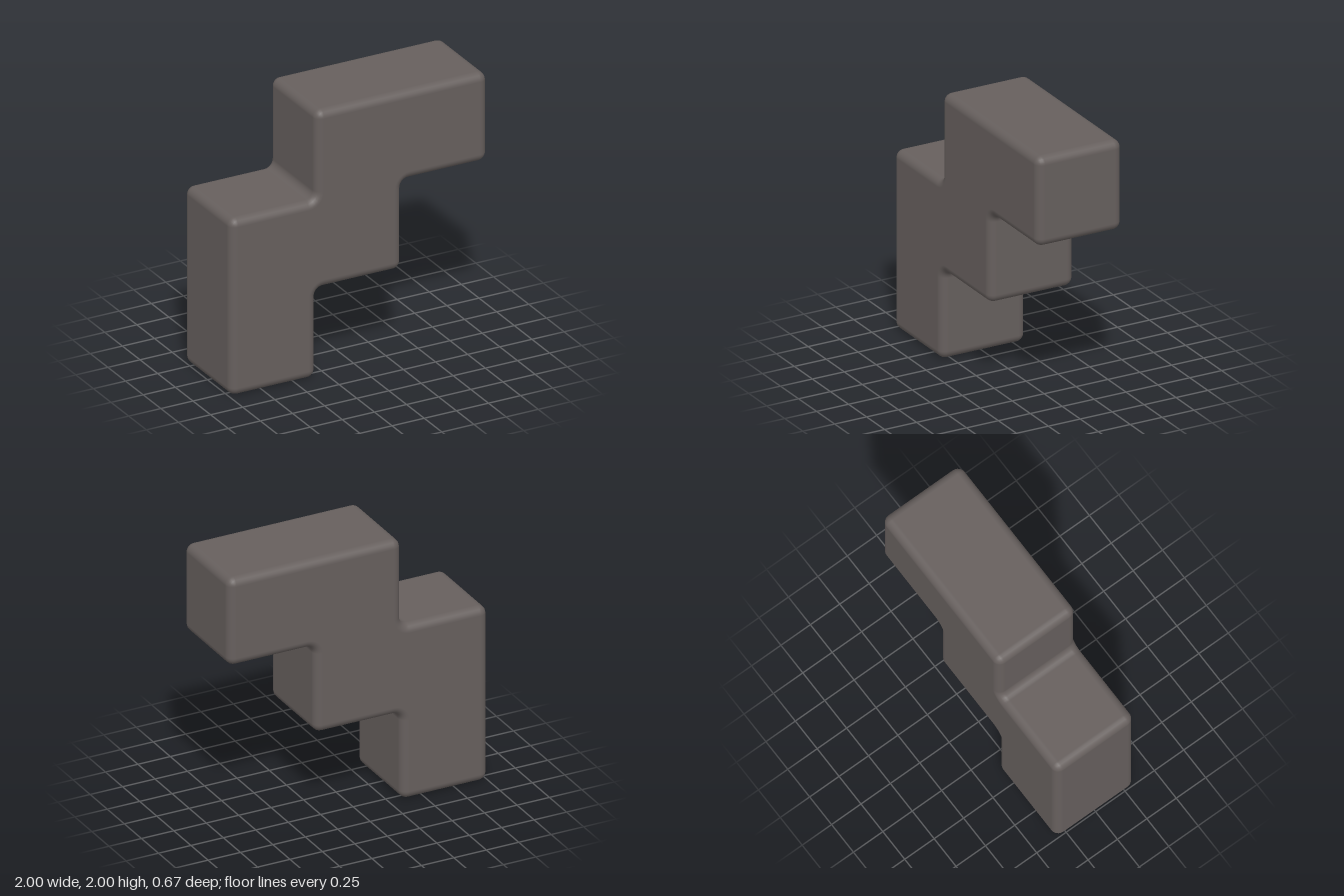
import * as THREE from 'three';

const CELL = 2 / 3, RADIUS = 0.06, STEPS = 6;

// Stepped outline in cells, counter-clockwise
const OUTLINE = [[0, 0], [1, 0], [1, 1], [2, 1], [2, 2], [3, 2], [3, 3], [1, 3], [1, 2], [0, 2]]
  .map(([x, y]) => new THREE.Vector2(x * CELL - 1, y * CELL));

// Rounded outline shrunk by inset; convex arcs tighten and concave fillets widen
function ring(inset) {
  const points = [], normals = [];
  OUTLINE.forEach((p, i) => {
    const a = p.clone().sub(OUTLINE.at(i - 1)).normalize();
    const b = OUTLINE[(i + 1) % OUTLINE.length].clone().sub(p).normalize();
    const turn = Math.sign(a.cross(b));
    const start = Math.atan2(-a.x, a.y);
    const normalSum = new THREE.Vector2(a.y + b.y, -a.x - b.x);
    const centre = p.clone().addScaledVector(normalSum, -turn * RADIUS);
    for (let k = 0; k <= STEPS; k++) {
      const angle = start + turn * (k / STEPS) * Math.PI / 2;
      const n = new THREE.Vector2(Math.cos(angle), Math.sin(angle));
      normals.push(n);
      points.push(centre.clone().addScaledVector(n, turn * RADIUS - inset));
    }
  });
  return { points, normals };
}

function steppedBlockGeometry() {
  const positions = [], normals = [], index = [];
  const halfDepth = CELL / 2;
  const count = OUTLINE.length * (STEPS + 1);
  const layers = 2 * (STEPS + 1);

  // Rings from back to front, following the rounded edge at each end
  for (let layer = 0; layer < layers; layer++) {
    const side = layer <= STEPS ? -1 : 1;
    const t = (side < 0 ? STEPS - layer : layer - STEPS - 1) / STEPS * Math.PI / 2;
    const c = t > 1.57 ? 0 : Math.cos(t), s = Math.sin(t);
    const { points, normals: flat } = ring(RADIUS * (1 - c));
    points.forEach((p, i) => {
      positions.push(p.x, p.y, side * (halfDepth - RADIUS + RADIUS * s));
      normals.push(flat[i].x * c, flat[i].y * c, side * s);
    });
    if (layer === 0) continue;
    for (let i = 0; i < count; i++) {
      const j = (i + 1) % count, low = (layer - 1) * count, high = layer * count;
      index.push(low + i, low + j, high + j, low + i, high + j, high + i);
    }
  }

  // Flat back and front faces
  const front = (layers - 1) * count;
  for (const [a, b, c] of THREE.ShapeUtils.triangulateShape(ring(RADIUS).points, [])) {
    index.push(front + a, front + b, front + c, c, b, a);
  }

  const geometry = new THREE.BufferGeometry();
  geometry.setAttribute('position', new THREE.Float32BufferAttribute(positions, 3));
  geometry.setAttribute('normal', new THREE.Float32BufferAttribute(normals, 3));
  geometry.setIndex(index);
  return geometry;
}

export function createModel() {
  const group = new THREE.Group();
  group.name = 'steppedBlockPiece';
  const material = new THREE.MeshStandardMaterial({ color: 0x665f5d });
  material.name = 'warm grey';
  const block = new THREE.Mesh(steppedBlockGeometry(), material);
  block.name = 'steppedBlock';
  group.add(block);
  return group;
}
